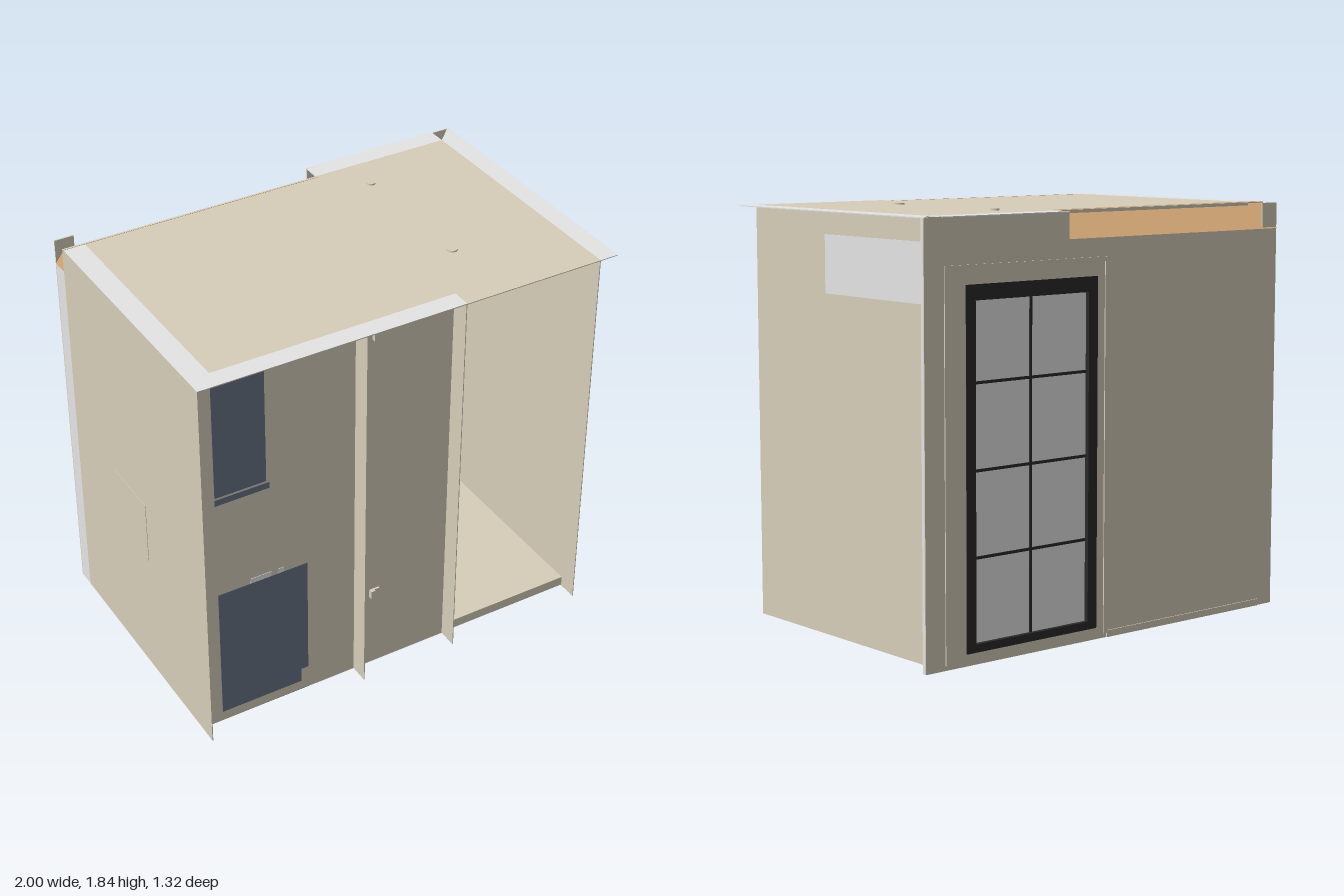
import * as THREE from 'three';

const mat = (name, color) => {
  const m = new THREE.MeshStandardMaterial({ color, side: THREE.DoubleSide });
  m.name = name;
  return m;
};
const points = (list) => list.map(([x, y]) => new THREE.Vector2(x, y));

export function createModel() {
  const tan = mat('tan panel', 0xd7ceba);
  const gray = mat('light gray', 0xe5e5e5);
  const navy = mat('slate blue', 0x687285);
  const black = mat('black', 0x2a2a2a);
  const orange = mat('orange timber', 0xeebd87);

  const H = 1.835, IN = 0.57, OUT = 0.66, BACK = -0.655;
  const group = new THREE.Group();
  group.name = 'utilityRoom';

  const add = (name, geometry, material) => {
    const mesh = new THREE.Mesh(geometry, material);
    mesh.name = name;
    group.add(mesh);
    return mesh;
  };
  // Box given by its minimum and maximum on each axis
  const box = (name, material, x0, x1, y0, y1, z0, z1) => {
    const g = new THREE.BoxGeometry(x1 - x0, y1 - y0, z1 - z0);
    g.translate((x0 + x1) / 2, (y0 + y1) / 2, (z0 + z1) / 2);
    return add(name, g, material);
  };
  // Upright panel with the doorway cut out, its back face at z
  const doorwayPanel = (name, outline, z) => {
    const shape = new THREE.Shape(points(outline));
    shape.holes.push(new THREE.Path(points([[0.08, 0.052], [0.08, 1.56], [0.79, 1.56], [0.79, 0.052]])));
    const g = new THREE.ExtrudeGeometry(shape, { depth: 0.006, bevelEnabled: false });
    g.translate(0, 0, z);
    return add(name, g, tan);
  };

  // Floor and roof
  box('floor', tan, -0.9, 0.91, 0.004, 0.05, -IN, IN);
  box('floorBackEdge', gray, -0.9, 0.906, 0.002, 0.05, -IN - 0.004, -IN);
  box('roof', tan, -1, 0.91, H - 0.004, H, -IN, OUT);
  box('leftRoofEdge', gray, -1, -0.9, H, H + 0.001, -0.555, OUT);
  box('frontRoofEdge', gray, -0.9, 0.24, H, H + 0.001, IN, OUT);
  box('backRoofEdge', gray, 0.24, 0.91, H - 0.004, H, -OUT, -IN);

  // Right roof edge, mitred at the back corner
  const edge = new THREE.Shape(points([[0.91, -OUT], [1, -OUT], [1, OUT], [0.91, IN]]));
  const edgeGeo = new THREE.ExtrudeGeometry(edge, { depth: 0.004, bevelEnabled: false });
  edgeGeo.rotateX(-Math.PI / 2);
  edgeGeo.translate(0, H - 0.004, 0);
  add('rightRoofEdge', edgeGeo, gray);

  // Side and front walls
  box('leftWall', tan, -1, -0.996, 0, H, -IN, OUT);
  box('leftLining', tan, -0.904, -0.9, 0.05, H - 0.004, -IN, IN - 0.004);
  box('rightWall', tan, 0.906, 0.91, 0, H, -IN, OUT);
  box('frontWall', tan, -0.996, 0.24, 0, H, IN - 0.004, IN);
  for (const x of [-0.235, 0.236]) box('frontFin', tan, x, x + 0.004, 0, H, IN, OUT);
  box('accessPanel', tan, -1.002, -1, 0.62, 0.92, -0.19, 0.115);

  // Back wall with a lowered top edge, and the lining inside it
  doorwayPanel('backWall', [
    [-1, 0], [1, 0], [1, H], [0.24, H], [0.24, 1.72], [-0.91, 1.72], [-0.91, H], [-1, H],
  ], BACK);
  doorwayPanel('backLining', [
    [-0.9, 0.05], [0.906, 0.05], [0.906, H - 0.004], [-0.9, H - 0.004],
  ], -IN);
  box('leftBackEnd', gray, -1, -0.997, 0, 1.72, BACK + 0.006, -IN);
  box('rightBackEnd', gray, 0.906, 0.91, 0, H - 0.005, BACK + 0.006, -IN);
  box('cornerStrip', gray, 0.985, 1, 0, H - 0.005, BACK + 0.006, -0.635);
  box('backSkirting', tan, -0.91, 0.02, 0, 0.03, -OUT, BACK);

  // Sloping timber along the top of the back wall, with a closed end
  const rise = H + 0.003 - 1.72, run = 0.105;
  const slope = new THREE.PlaneGeometry(1.24, Math.hypot(run, rise));
  slope.rotateY(Math.PI);
  slope.rotateX(Math.atan2(run, rise));
  slope.translate(-0.38, 1.72 + rise / 2, -OUT + run / 2);
  add('timberStrip', slope, orange);
  const end = new THREE.ShapeGeometry(new THREE.Shape(points([
    [0.657, 1.72], [0.557, 1.72], [0.557, H],
  ])));
  end.rotateY(Math.PI / 2);
  end.translate(-0.999, 0, 0);
  add('timberEnd', end, orange);

  // Glazed door: frame, panes and glazing bars
  box('doorGlass', gray, 0.12, 0.75, 0.07, 1.54, -0.637, -0.631);
  for (const [x0, x1] of [[0.08, 0.13], [0.74, 0.79]])
    box('doorStile', black, x0, x1, 0.05, 1.56, -0.657, -0.6);
  for (const [y0, y1] of [[0.05, 0.085], [1.495, 1.56]])
    box('doorRail', black, 0.13, 0.74, y0, y1, -0.657, -0.6);
  box('verticalBar', black, 0.43, 0.442, 0.085, 1.495, -0.642, -0.626);
  for (const y of [0.44, 0.8, 1.16])
    box('horizontalBar', black, 0.13, 0.74, y - 0.006, y + 0.006, -0.642, -0.626);

  // Raised tan trim around the door
  for (const x of [0.02, 0.88]) box('doorTrimSide', tan, x, x + 0.02, 0.02, 1.64, -OUT, BACK);
  box('doorTrimTop', tan, 0.04, 0.88, 1.62, 1.64, -OUT, BACK);

  // Wall unit above the opening, reaching through the right wall
  box('wallUnit', gray, 0.24, 0.912, 1.48, 1.73, -0.56, 0.14);

  // Blue cabinets, flush with the front wall
  box('lowerCabinet', navy, -0.9, -0.505, 0.05, 0.71, 0, IN + 0.002);
  box('lowerCabinetSide', navy, -0.505, -0.47, 0.12, 0.71, 0, IN + 0.002);
  box('upperCabinet', navy, -0.9, -0.66, 1.22, 1.81, 0.2, IN + 0.002);
  box('cabinetShelf', navy, -0.9, -0.645, 1.18, 1.21, 0.2, IN + 0.002);
  box('cabinetBase', navy, -0.9, -0.47, 0, 0.004, -0.04, IN);
  for (const [x0, x1] of [[-0.745, -0.645], [-0.61, -0.585]])
    box('tapPlate', gray, x0, x1, 0.71, 0.735, IN, IN + 0.002);

  // Stacked washer and dryer, facing the opening
  box('washer', black, -0.9, -0.28, 0.05, 0.78, -0.56, -0.04);
  box('controlPanel', black, -0.9, -0.265, 0.78, 0.88, -0.56, -0.04);
  box('dryer', black, -0.9, -0.28, 0.88, 1.75, -0.56, -0.04);
  box('washerBase', black, -0.9, -0.28, 0, 0.004, -0.56, -0.04);
  const ring = new THREE.TorusGeometry(0.19, 0.006, 8, 40);
  ring.rotateY(Math.PI / 2);
  ring.translate(-0.28, 0.47, -0.31);
  add('drumDoor', ring, black);

  // Small door hooks on the front wall
  for (const [y, tall] of [[0.385, 0.04], [1.745, 0.09]]) {
    box('hookStem', tan, -0.157, -0.137, y, y + tall, IN, IN + 0.02);
    box('hookArm', tan, -0.137, -0.11, y + tall - 0.035, y + tall, IN, IN + 0.01);
  }

  // Roof vents
  for (const [z, r] of [[-0.39, 0.02], [0.27, 0.024]]) {
    const vent = new THREE.CylinderGeometry(r, r, 0.008, 20);
    vent.translate(0.42, H + 0.003, z);
    add('roofVent', vent, tan);
  }
  return group;
}
